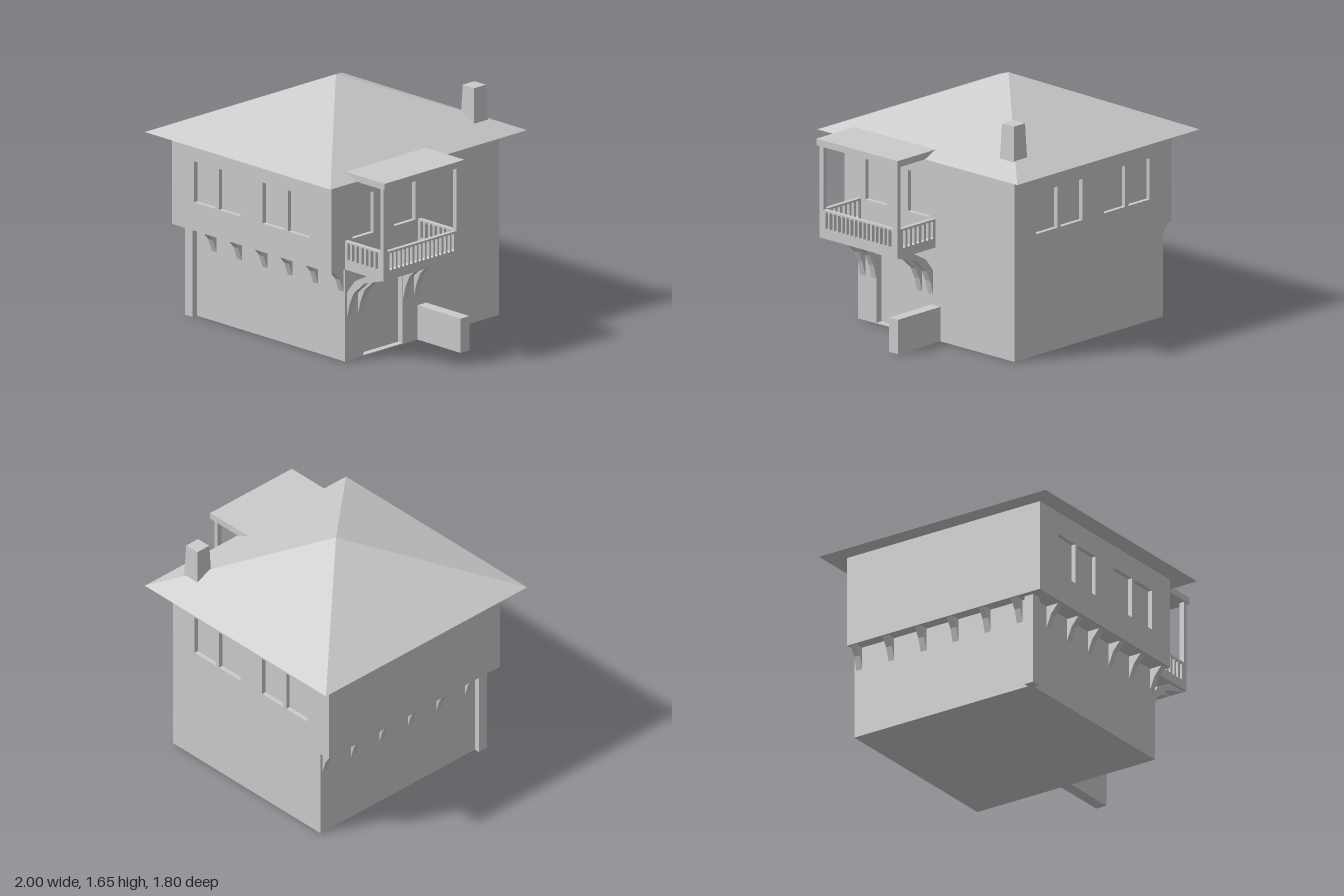
import * as THREE from 'three';

const material = new THREE.MeshStandardMaterial({ color: 0xcccccc, flatShading: true });

function add(parent, name, geometry) {
  const mesh = new THREE.Mesh(geometry, material);
  mesh.name = name;
  parent.add(mesh);
  return mesh;
}

// Box given by its minimum and maximum on each axis
function block(parent, name, x0, x1, y0, y1, z0, z1) {
  const g = new THREE.BoxGeometry(x1 - x0, y1 - y0, z1 - z0);
  g.translate((x0 + x1) / 2, (y0 + y1) / 2, (z0 + z1) / 2);
  return add(parent, name, g);
}

// Rectangular wall with rectangular openings [u0, u1, v0, v1]
function panel(u0, u1, v0, v1, depth, openings) {
  const rect = (P, a, b, c, d) => {
    const p = new P();
    p.moveTo(a, c); p.lineTo(b, c); p.lineTo(b, d); p.lineTo(a, d); p.closePath();
    return p;
  };
  const shape = rect(THREE.Shape, u0, u1, v0, v1);
  openings.forEach(o => shape.holes.push(rect(THREE.Path, ...o)));
  return new THREE.ExtrudeGeometry(shape, { depth, bevelEnabled: false });
}

// Railing panel with a row of rounded slots
function railing(u0, u1, first, pitch, count, depth) {
  const shape = new THREE.Shape();
  shape.moveTo(u0, 0.63); shape.lineTo(u1, 0.63);
  shape.lineTo(u1, 0.825); shape.lineTo(u0, 0.825); shape.closePath();
  const r = 0.012;
  for (let i = 0; i < count; i++) {
    const u = first + i * pitch, slot = new THREE.Path();
    slot.absarc(u, 0.815 - r, r, 0, Math.PI, false);
    slot.absarc(u, 0.692 + r, r, Math.PI, Math.PI * 2, false);
    slot.closePath();
    shape.holes.push(slot);
  }
  return new THREE.ExtrudeGeometry(shape, { depth, bevelEnabled: false, curveSegments: 5 });
}

// Bracket profile: outward distance and height, hung below the overhang
function bracket(parent, name, points, x, z, turn) {
  const w = 0.045;
  const shape = new THREE.Shape(points.map(p => new THREE.Vector2(...p)));
  const g = new THREE.ExtrudeGeometry(shape, { depth: w, bevelEnabled: false });
  g.translate(0, 0, -w / 2);
  const m = add(parent, name, g);
  m.position.set(x, 0.63, z);
  m.rotation.y = turn;
}

export function createModel() {
  const house = new THREE.Group();
  house.name = 'house';
  const t = 0.03;

  // Lower storey with a recessed doorway on the balcony side
  const door = 0.045;
  block(house, 'lowerStorey', -0.8, 0.6 - door, 0, 0.63, -0.76, 0.65);
  const doorWall = panel(-0.65, 0.76, 0, 0.63, door, [[-0.48, -0.12, 0.006, 0.475]]);
  doorWall.rotateY(Math.PI / 2);
  doorWall.translate(0.6 - door, 0, 0);
  add(house, 'doorWall', doorWall);
  block(house, 'cornerPost', -0.84, -0.77, 0, 0.63, 0.62, 0.69);

  // Upper storey: core wrapped in walls with window openings
  block(house, 'upperStorey', -0.88, 0.6 - t, 0.63, 1.26, -0.76 + t, 0.77 - t);
  const windows = [[-0.675, -0.475], [-0.445, -0.245], [-0.04, 0.165], [0.195, 0.395]]
    .map(([a, b]) => [a, b, 0.825, 1.105]);
  add(house, 'frontWall', panel(-0.88, 0.6, 0.63, 1.26, t, windows)).position.z = 0.77 - t;
  add(house, 'backWall', panel(-0.88, 0.6, 0.63, 1.26, t, windows)).position.z = -0.76;
  const sideWall = panel(-0.77 + t, 0.76 - t, 0.63, 1.26, t,
    [[-0.58, -0.385, 0.825, 1.105], [-0.2, -0.005, 0.825, 1.105]]);
  sideWall.rotateY(Math.PI / 2);
  sideWall.translate(0.6 - t, 0, 0);
  add(house, 'balconyWall', sideWall);

  // Small brackets under the front and side overhangs
  const small = [[0, 0], [0, -0.155], [0.035, -0.065], [0.09, 0]];
  const smallSide = small.map(([d, y]) => [d * 0.75, y]);
  for (let i = 0; i < 6; i++) {
    bracket(house, 'frontBracket', small, -0.61 + i * 0.235, 0.65, -Math.PI / 2);
    bracket(house, 'sideBracket', smallSide, -0.8, -0.72 + i * 0.255, Math.PI);
  }

  // Hipped roof
  const roof = new THREE.ConeGeometry(Math.SQRT2, 1, 4);
  roof.rotateY(Math.PI / 4);
  roof.scale(0.86, 0.39, 0.9);
  roof.translate(-0.14, 1.26 + 0.195, 0);
  add(house, 'roof', roof);

  // Tapered chimney
  const chimney = new THREE.CylinderGeometry(0.053 * Math.SQRT2, 0.063 * Math.SQRT2, 0.245, 4);
  chimney.rotateY(Math.PI / 4);
  chimney.translate(0.488, 1.4525, -0.645);
  add(house, 'chimney', chimney);

  // Balcony with slotted railings, posts and canopy
  const balcony = new THREE.Group();
  balcony.name = 'balcony';
  house.add(balcony);
  block(balcony, 'balconyFloor', 0.6, 0.935, 0.63, 0.675, -0.03, 0.63);
  [0.62, -0.05].forEach(z => {
    add(balcony, 'endRailing', railing(0.6, 0.96, 0.635, 0.0435, 7, t)).position.z = z;
    block(balcony, 'balconyPost', 0.93, 0.96, 0.825, 1.26, z === 0.62 ? 0.615 : -0.05, z === 0.62 ? 0.65 : -0.015);
  });
  const outer = railing(-0.62, 0.02, -0.585, 0.0379, 16, t);
  outer.rotateY(Math.PI / 2);
  outer.translate(0.93, 0, 0);
  add(balcony, 'outerRailing', outer);
  block(balcony, 'canopy', 0.6, 0.98, 1.26, 1.305, -0.07, 0.66);

  // Arched balcony brackets
  const arch = [[0.36, 0], [0.2, 0], [0.07, -0.07], [0, -0.16], [0, -0.325],
    [0.025, -0.23], [0.06, -0.155], [0.16, -0.065]];
  [0.605, 0.505, 0.095, -0.005].forEach(z => bracket(balcony, 'balconyBracket', arch, 0.6, z, 0));

  // Low garden wall beside the door
  block(house, 'gardenWall', 0.6, 1, 0, 0.235, -0.095, -0.015);
  return house;
}
